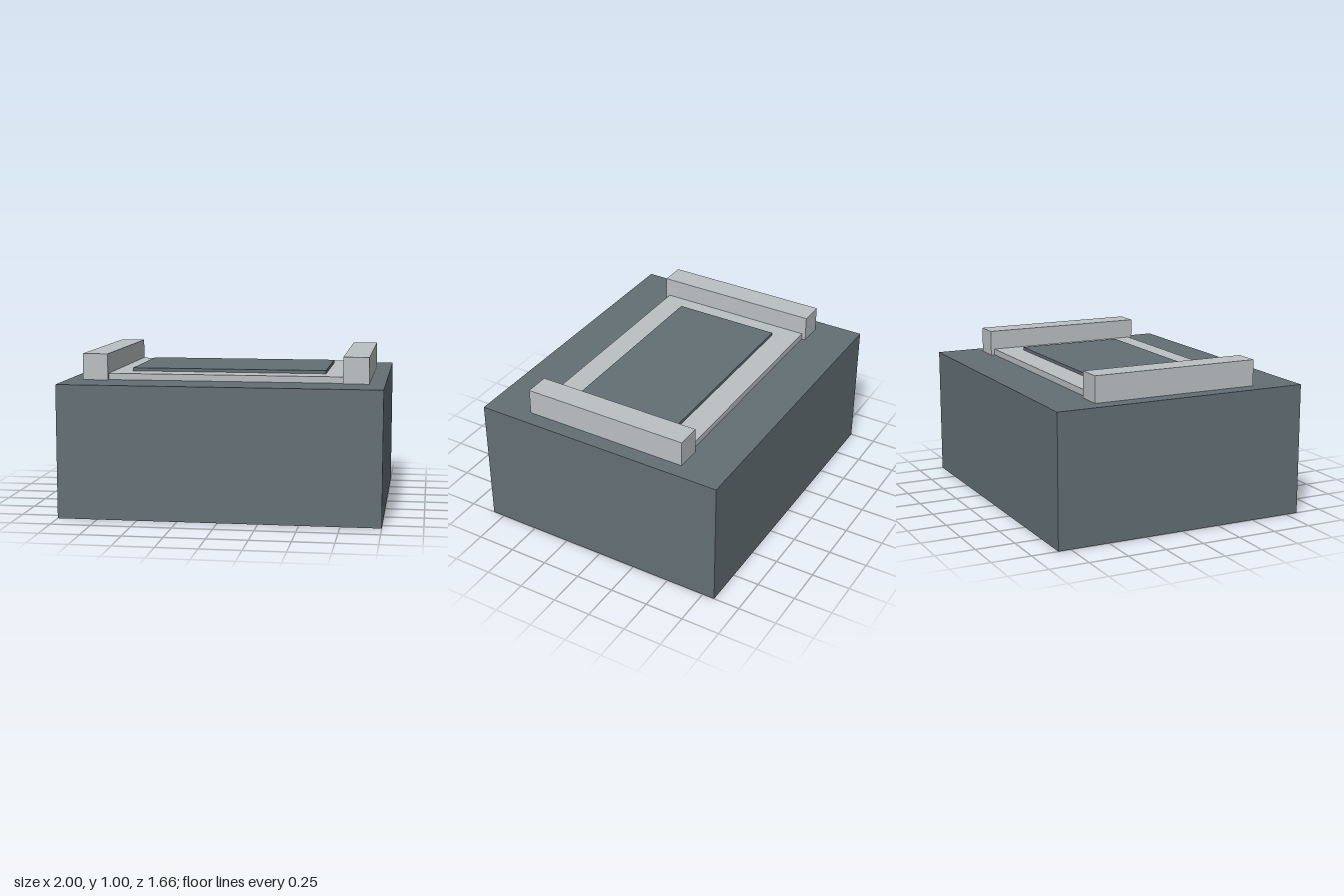
import * as THREE from 'three';

export function createModel() {
  const model = new THREE.Group();
  model.name = 'pedestalBlock';

  const slate = new THREE.MeshStandardMaterial({ color: 0x636f75 });
  slate.name = 'slate grey';
  const pale = new THREE.MeshStandardMaterial({ color: 0xbbc0c3 });
  pale.name = 'pale grey';

  // Box centred on x and z, resting on y = bottom
  function addBox(name, material, width, depth, bottom, top, x = 0) {
    const mesh = new THREE.Mesh(new THREE.BoxGeometry(width, top - bottom, depth), material);
    mesh.name = name;
    mesh.position.set(x, (bottom + top) / 2, 0);
    model.add(mesh);
  }

  const baseTop = 0.835;
  const trayTop = 0.875;

  // Solid base
  addBox('base', slate, 2, 1.66, 0, baseTop);

  // Low tray with a raised dark panel
  addBox('tray', pale, 1.48, 1.035, baseTop, trayTop);
  addBox('panel', slate, 1.24, 0.705, trayTop, 0.895);

  // Rails along both ends of the tray
  for (const side of [-1, 1]) {
    addBox(side > 0 ? 'leftRail' : 'rightRail', pale, 0.16, 1.085, baseTop, 1, side * 0.82);
  }

  return model;
}
